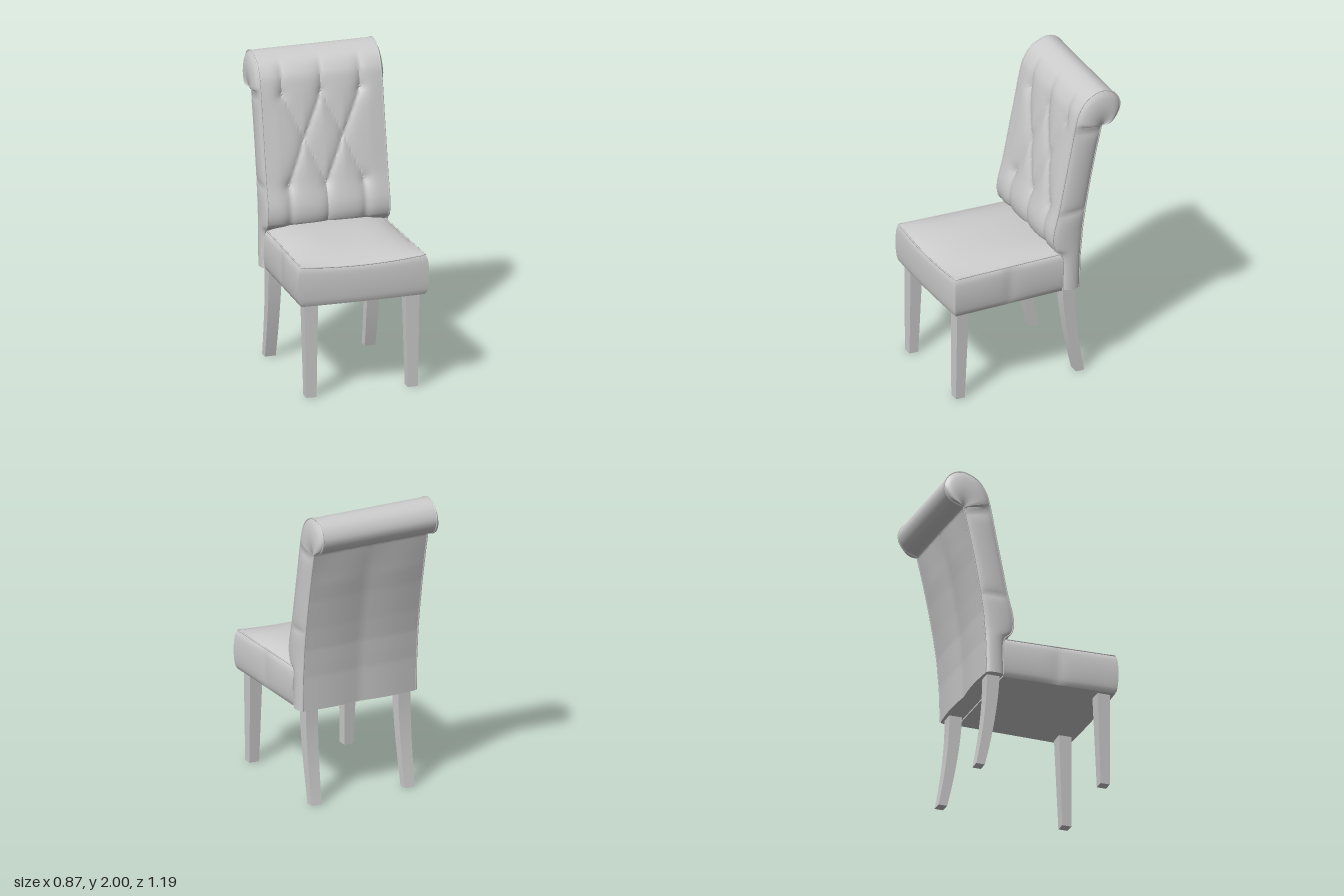
import * as THREE from 'three';
import { toCreasedNormals, mergeVertices } from 'three/addons/utils/BufferGeometryUtils.js';

const grey = new THREE.MeshStandardMaterial({ color: 0xcccccc });
grey.name = 'light grey';

function add(group, name, geometry) {
  const mesh = new THREE.Mesh(geometry, grey);
  mesh.name = name;
  group.add(mesh);
  return mesh;
}

// Skin closed rings of equal length, stacked upwards and counterclockwise from above
function loft(rings, crease) {
  const n = rings[0].length, pos = [], idx = [];
  rings.forEach(r => r.forEach(p => pos.push(p.x, p.y, p.z)));
  for (let i = 0; i < rings.length - 1; i++) {
    for (let j = 0; j < n; j++) {
      const a = i * n + j, b = i * n + (j + 1) % n;
      idx.push(a, b, b + n, a, b + n, a + n);
    }
  }
  [0, rings.length - 1].forEach((k, top) => {
    const c = pos.length / 3;
    const m = rings[k].reduce((s, p) => s.add(p), new THREE.Vector3()).divideScalar(n);
    pos.push(m.x, m.y, m.z);
    for (let j = 0; j < n; j++) {
      const a = k * n + j, b = k * n + (j + 1) % n;
      if (top) idx.push(c, a, b); else idx.push(c, b, a);
    }
  });
  const g = new THREE.BufferGeometry();
  g.setAttribute('position', new THREE.Float32BufferAttribute(pos, 3));
  g.setIndex(idx);
  return toCreasedNormals(g, crease);
}

function piping(points, radius = 0.005) {
  return new THREE.TubeGeometry(new THREE.CatmullRomCurve3(points), 90, radius, 6);
}

// Backrest side profile as [z, y]: outer line with the scroll, and rear line
const outer = [[-.19, .63], [-.19, .86], [-.135, .93], [-.125, 1.03], [-.165, 1.2], [-.205, 1.4],
  [-.245, 1.6], [-.28, 1.78], [-.31, 1.88], [-.37, 1.96], [-.47, 1.998], [-.555, 1.963],
  [-.592, 1.88], [-.555, 1.795], [-.465, 1.755]];
const rear = [[-.305, .63], [-.312, .86], [-.32, .95], [-.328, 1.05], [-.35, 1.2], [-.385, 1.4],
  [-.427, 1.6], [-.462, 1.75]];
const outerCurve = new THREE.CatmullRomCurve3(outer.map(([z, y]) => new THREE.Vector3(0, y, z)), false, 'catmullrom', 0.5);
const W = 0.405;

function rearPoint(t) {
  const s = Math.min(t * (outer.length - 1), rear.length - 1);
  const i = Math.min(Math.floor(s), rear.length - 2), f = s - i;
  return new THREE.Vector3(0, THREE.MathUtils.lerp(rear[i][1], rear[i + 1][1], f),
    THREE.MathUtils.lerp(rear[i][0], rear[i + 1][0], f));
}

// Button positions and the folds that join them
const buttons = [[-.26, 1.745], [0, 1.745], [.26, 1.745], [-.13, 1.46], [.13, 1.46], [-.25, 1.17], [0, 1.17], [.25, 1.17]];
const folds = [[0, 3], [3, 1], [1, 4], [4, 2], [3, 5], [3, 6], [6, 4], [4, 7]]
  .map(([a, b]) => [...buttons[a], ...buttons[b]]);
for (const i of [0, 1, 2]) folds.push([...buttons[i], buttons[i][0], 2]);
for (const i of [5, 6, 7]) folds.push([...buttons[i], buttons[i][0], .8]);

function dent(x, y) {
  let d = 1;
  for (const [ax, ay, bx, by] of folds) {
    const dx = bx - ax, dy = by - ay;
    const k = THREE.MathUtils.clamp(((x - ax) * dx + (y - ay) * dy) / (dx * dx + dy * dy), 0, 1);
    d = Math.min(d, Math.hypot(x - ax - k * dx, y - ay - k * dy));
  }
  let depth = 0.02 * Math.exp(-d / 0.035);
  for (const [bx, by] of buttons) depth += 0.018 * Math.exp(-Math.hypot(x - bx, y - by) / 0.035);
  return depth;
}

function frontPoint(t, x) {
  const p = outerCurve.getPoint(t);
  p.x = x;
  const s = t * (outer.length - 1);
  const fade = THREE.MathUtils.smoothstep(s, 1, 2) * (1 - THREE.MathUtils.smoothstep(s, 7, 9.5));
  const edge = Math.min(1, (W - Math.abs(x)) / 0.1);
  p.z += fade * edge * (0.008 - dent(x, p.y));
  return p;
}

function makeBack(group) {
  const stations = 120, cols = 56, side = 10, rings = [];
  for (let i = 0; i <= stations; i++) {
    const t = i / stations, ring = [], f = outerCurve.getPoint(t), b = rearPoint(t);
    // side padding pinched at two seams
    const pinch = Math.exp(-Math.abs(f.y - 1.17) / .03) + (t < .52 ? Math.exp(-Math.abs(f.y - 1.74) / .03) : 0);
    const puff = (t > .5 ? 0.032 : 0.019) * (1 - 0.6 * Math.min(1, pinch)) * Math.min(1, f.distanceTo(b) / .1);
    const sidePoint = (v, sx) => {
      const p = f.clone().lerp(b, v);
      p.x = sx * (W + puff * Math.pow(Math.sin(Math.PI * v), 0.6));
      return p;
    };
    for (let j = 0; j <= cols; j++) ring.push(frontPoint(t, -W + 2 * W * j / cols));
    for (let j = 1; j < side; j++) ring.push(sidePoint(j / side, 1));
    for (let j = 0; j <= 24; j++) {
      const x = W - 2 * W * j / 24, p = b.clone();
      p.x = x;
      if (t < .5) p.z -= 0.012 * Math.abs(Math.sin(Math.PI * x / W)) * Math.min(1, (.5 - t) * 10);
      ring.push(p);
    }
    for (let j = side - 1; j > 0; j--) ring.push(sidePoint(j / side, -1));
    rings.push(ring);
  }
  add(group, 'backrest', loft(rings, 0.7));

  // Piping along the front and rear edges
  for (const sx of [-1, 1]) {
    const a = [], b = [];
    for (let i = 0; i <= 50; i++) a.push(frontPoint(i / 50, sx * W));
    for (let i = 0; i <= 20; i++) b.push(rearPoint(i / 40).setX(sx * W));
    add(group, 'backFrontPiping', piping(a));
    add(group, 'backRearPiping', piping(b));
  }

  // Tufting buttons sit in the folds
  for (const [x, y] of buttons) {
    let t = 0.1;
    while (outerCurve.getPoint(t).y < y) t += 0.001;
    const button = add(group, 'tuftButton', new THREE.SphereGeometry(0.011, 12, 8));
    button.position.copy(frontPoint(t, x));
    button.scale.z = 0.7;
  }
}

// Seat cushion surface for u, v, w from -1 to 1 across, up and forward
function seatPoint(u, v, w) {
  const puff = Math.sqrt(Math.max(0, 1 - v * v));
  const z0 = -.19 + (w + 1) / 2 * .755;
  const pinch = 1 - 0.5 * Math.exp(-Math.abs(z0 - .18) / .06);
  const half = THREE.MathUtils.lerp(.393, .413, (w + 1) / 2) + .023 * puff * pinch;
  const z = z0 + (w > 0 ? w * w * (.014 * puff + .01 * (1 - u * u)) : 0);
  const up = (v + 1) / 2;
  const dome = .052 * (1 - u ** 4) * (1 - ((w + .3) / 1.3) ** 2);
  const dip = .02 * (1 - u * u) * Math.max(0, w) ** 4;
  return new THREE.Vector3(u * half, .62 + up * .263 + up ** 3 * (dome - dip), z);
}

function makeSeat(group) {
  const g = new THREE.BoxGeometry(2, 2, 2, 28, 14, 32);
  const p = g.attributes.position;
  for (let i = 0; i < p.count; i++) {
    const q = seatPoint(p.getX(i), p.getY(i), p.getZ(i));
    p.setXYZ(i, q.x, q.y, q.z);
  }
  g.deleteAttribute('uv');
  g.deleteAttribute('normal');
  add(group, 'seatCushion', toCreasedNormals(mergeVertices(g), 0.7));

  // Piping around the top edge
  const path = [];
  for (let i = 0; i <= 16; i++) path.push(seatPoint(-1, 1, -1 + i / 8));
  for (let i = 1; i <= 16; i++) path.push(seatPoint(-1 + i / 8, 1, 1));
  for (let i = 1; i <= 16; i++) path.push(seatPoint(1, 1, 1 - i / 8));
  add(group, 'seatPiping', piping(path));
}

// Square leg from sections [y, centre x, centre z, half width, half depth]
function leg(sections, sx) {
  return loft(sections.map(([y, x, z, a, b]) =>
    [[-1, 1], [1, 1], [1, -1], [-1, -1]].map(([i, k]) => new THREE.Vector3(sx * x + i * a, y, z + k * b))), 0.5);
}

function makeLegs(group) {
  const front = [[0, .338, .513, .034, .031], [.64, .338, .498, .046, .042]];
  const back = [];
  for (let i = 0; i <= 10; i++) {
    const k = i / 10, bend = (1 - k) ** 1.7;
    back.push([.64 * k, .332 - .002 * k, -.247 - .084 * bend, .036 + .008 * k, .029 + .014 * k]);
  }
  for (const sx of [1, -1]) {
    const label = sx > 0 ? 'Left' : 'Right';
    add(group, 'front' + label + 'Leg', leg(front, sx));
    add(group, 'rear' + label + 'Leg', leg(back, sx));
  }
}

export function createModel() {
  const group = new THREE.Group();
  group.name = 'diningChair';
  makeBack(group);
  makeSeat(group);
  makeLegs(group);
  return group;
}
